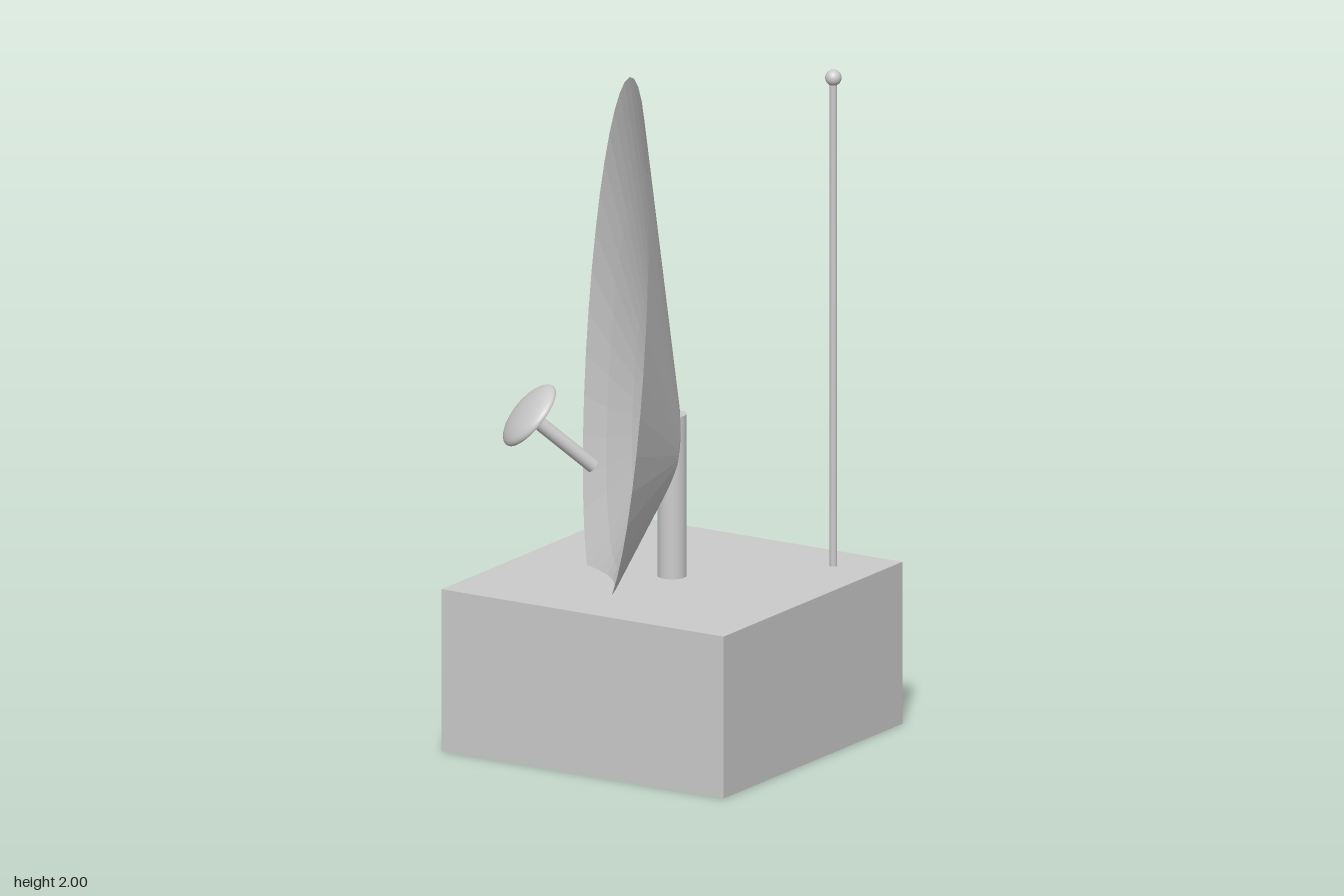
import * as THREE from 'three';

const smooth = new THREE.MeshStandardMaterial({ color: 0xcccccc });
const faceted = new THREE.MeshStandardMaterial({ color: 0xcccccc, flatShading: true });

// Dish heading: d points horizontally forward-right, t runs across it.
const K = Math.SQRT1_2;
const at = (d, y, t = 0) => new THREE.Vector3((t - d) * K, y, (t + d) * K);

function add(parent, name, geometry, material = smooth) {
  const mesh = new THREE.Mesh(geometry, material);
  mesh.name = name;
  parent.add(mesh);
  return mesh;
}

function lathe(points, segments) {
  return new THREE.LatheGeometry(points.map(([r, h]) => new THREE.Vector2(r, h)), segments);
}

// Turn a part whose axis is +y so that it points along a direction.
function aim(mesh, position, direction) {
  mesh.position.copy(position);
  mesh.quaternion.setFromUnitVectors(new THREE.Vector3(0, 1, 0), direction);
}

export function createModel() {
  const model = new THREE.Group();
  model.name = 'dishStation';

  // Base block and supporting post
  add(model, 'base', new THREE.BoxGeometry(0.974, 0.49, 0.974)).position.y = 0.245;
  add(model, 'post', new THREE.CylinderGeometry(0.043, 0.043, 0.49, 32)).position.y = 0.735;

  // Rod aerial with a ball tip
  const aerial = new THREE.Group();
  aerial.name = 'aerial';
  aerial.position.set(0.34, 0, -0.343);
  add(aerial, 'aerialRod', new THREE.CylinderGeometry(0.011, 0.011, 1.48, 16)).position.y = 1.22;
  add(aerial, 'aerialTip', new THREE.SphereGeometry(0.024, 24, 16)).position.y = 1.967;
  model.add(aerial);

  // Reflector: closed shell in unit size, outside first, then the inside with its flat floor
  const shell = lathe([
    [0, -0.48], [0.08, -0.46], [0.14, -0.4], [1, 1],
    [0.75, 0.64], [0.45, 0.28], [0.16, 0], [0, 0],
  ], 40);
  // Stretched tall and sheared upward along its axis
  shell.applyMatrix4(new THREE.Matrix4()
    .makeBasis(at(0, 0, -0.366), at(0.128, 0.215), at(-0.055, 0.8))
    .setPosition(at(0.04, 0.985)));
  add(model, 'reflector', shell, faceted);

  // Feed arm and its small domed disc
  const start = at(0.235, 0.835);
  const end = at(0.425, 1.0);
  const dir = end.clone().sub(start).normalize();
  const length = start.distanceTo(end);
  const arm = add(model, 'feedArm', new THREE.CylinderGeometry(0.021, 0.021, length, 24));
  aim(arm, start.clone().lerp(end, 0.5), dir);

  const feed = new THREE.Group();
  feed.name = 'feed';
  aim(feed, end, dir);
  add(feed, 'feedBack', lathe([[0, -0.005], [0.108, -0.005]], 40));
  const dome = [[0.108, -0.005]];
  for (let i = 0; i <= 8; i++) {
    const a = (i / 8) * Math.PI / 2;
    dome.push([0.11 * Math.cos(a), 0.035 * Math.sin(a)]);
  }
  add(feed, 'feedDome', lathe(dome, 40));
  model.add(feed);

  return model;
}
